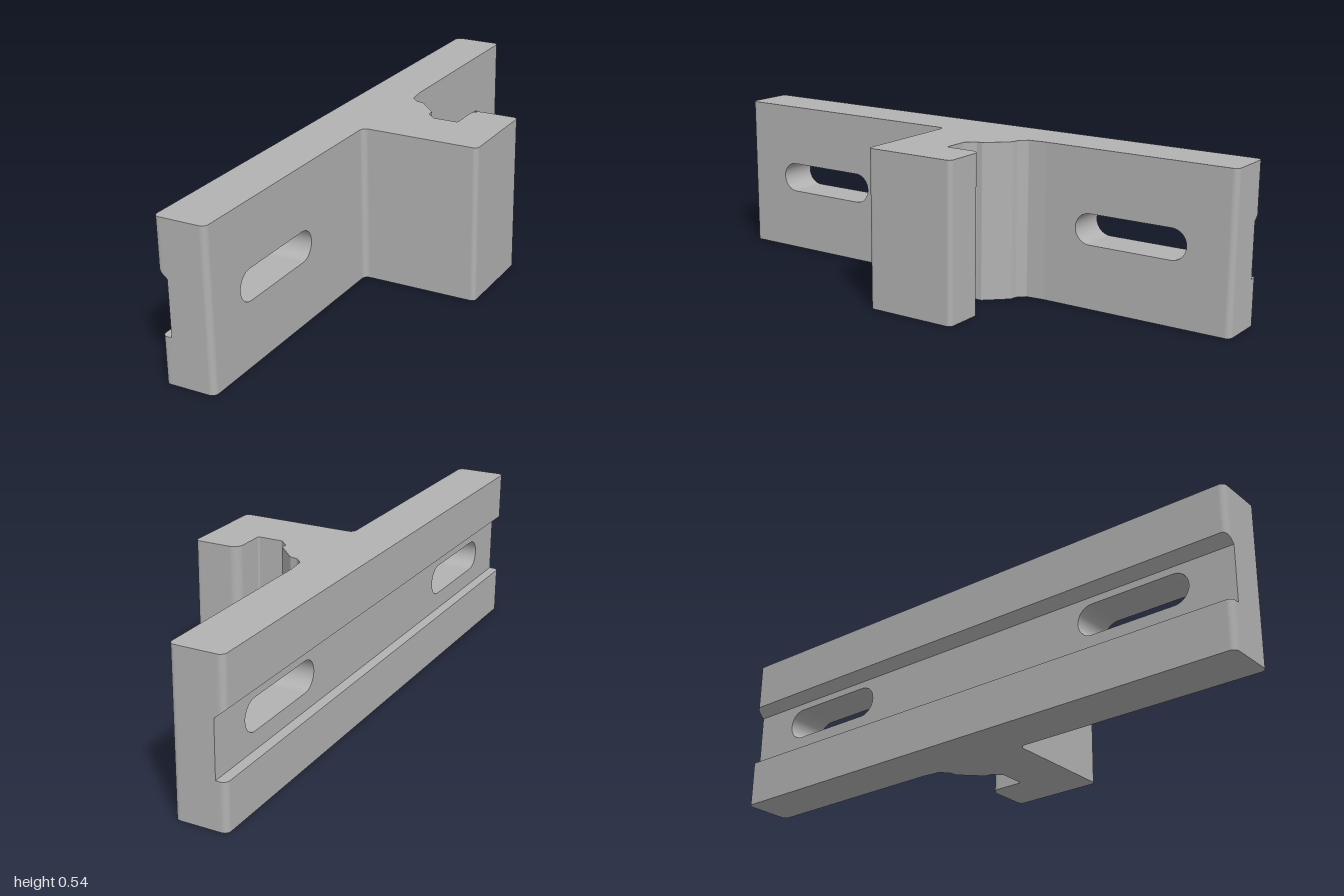
import * as THREE from 'three';
import { mergeGeometries } from 'three/addons/utils/BufferGeometryUtils.js';

const H = 0.543;                       // height of the whole section
const BACK = -0.297, FACE = -0.12;     // plate back and front, along x
const FLOOR = -0.262, G0 = 0.16;       // groove floor (x) and lower ledge (y)
const grooveTop = x => 0.38 - (x - BACK) * (0.03 / (FLOOR - BACK));
const SLOT = { y: 0.273, r: 0.053, half: 0.15, z: [0.641, -0.638] };

// Plan corners as [x, z, radius]
const PLAN = [
  [BACK, 1, 0.02], [FLOOR, 1, 0], [FACE, 1, 0.02],
  [FACE, 0.097, 0.02], [0.295, 0.097, 0.016],
  [0.295, -0.23, 0.016], [0.132, -0.23, 0.032], [0.132, -0.1, 0.006],
  [0.042, -0.1, 0.006], [0.01, -0.131, 0.006], [0.01, -0.153, 0.006],
  [-0.06, -0.225, 0.012], [-0.087, -0.23, 0.006], [-0.113, -0.255, 0.006],
  [FACE, -0.32, 0],
  [FACE, -1, 0.02], [FLOOR, -1, 0], [BACK, -1, 0.02],
];

// Replace each corner by an arc tangent to its two sides
function roundCorners(corners, steps = 6) {
  const out = [];
  corners.forEach(([x, z, r], i) => {
    const p = new THREE.Vector2(x, z);
    if (!r) { out.push(p); return; }
    const n = corners.length;
    const side = j => new THREE.Vector2(corners[j][0], corners[j][1]).sub(p).normalize();
    const u = side((i + n - 1) % n), v = side((i + 1) % n);
    const half = Math.acos(u.dot(v)) / 2, t = r / Math.tan(half);
    const c = u.clone().add(v).normalize().multiplyScalar(r / Math.sin(half)).add(p);
    const a0 = p.clone().addScaledVector(u, t).sub(c).angle();
    let da = p.clone().addScaledVector(v, t).sub(c).angle() - a0;
    if (da > Math.PI) da -= 2 * Math.PI;
    if (da < -Math.PI) da += 2 * Math.PI;
    for (let k = 0; k <= steps; k++) {
      const a = a0 + da * k / steps;
      out.push(new THREE.Vector2(c.x + r * Math.cos(a), c.y + r * Math.sin(a)));
    }
  });
  return out;
}

// Four-cornered face; na belongs to a and d, nb to b and c
function quad(a, b, c, d, na, nb) {
  const e1 = new THREE.Vector3().subVectors(b, a), e2 = new THREE.Vector3().subVectors(c, a);
  const ccw = e1.cross(e2).dot(na) > 0;
  const p = ccw ? [a, b, c, a, c, d] : [a, c, b, a, d, c];
  const n = ccw ? [na, nb, nb, na, nb, na] : [na, nb, nb, na, na, nb];
  const g = new THREE.BufferGeometry().setFromPoints(p);
  g.setAttribute('normal', new THREE.Float32BufferAttribute(n.flatMap(q => q.toArray()), 3));
  return g;
}

function plain(geometry) {
  const g = geometry.toNonIndexed();
  g.deleteAttribute('uv');
  return g;
}

// Horizontal face over a plan outline, facing up or down
function cap(points, y, up) {
  const shape = new THREE.Shape(points.map(p => new THREE.Vector2(p.x, up ? -p.y : p.y)));
  return plain(new THREE.ShapeGeometry(shape).rotateX(up ? -Math.PI / 2 : Math.PI / 2).translate(0, y, 0));
}

// Outline of one elongated slot in (z, y), with inward normals
function slotOutline(zc, steps = 16) {
  const out = [];
  for (const s of [0, 1]) for (let k = 0; k <= steps; k++) {
    const a = -Math.PI / 2 + Math.PI * (s + k / steps);
    const c = Math.cos(a), n = Math.sin(a);
    out.push({ z: zc + (s ? -1 : 1) * SLOT.half * 0.99 + SLOT.r * c, y: SLOT.y + SLOT.r * n,
      normal: new THREE.Vector3(0, -n, -c) });
  }
  return out;
}

// Upright face at x, pierced by the slots within its z range; dir is +1 or -1 along x
function slottedFace(x, z0, z1, y0, y1, dir) {
  const s = z => -dir * z;
  const shape = new THREE.Shape([[z0, y0], [z1, y0], [z1, y1], [z0, y1]]
    .map(([z, y]) => new THREE.Vector2(s(z), y)));
  for (const zc of SLOT.z) {
    if (zc > Math.min(z0, z1) && zc < Math.max(z0, z1)) {
      shape.holes.push(new THREE.Path(slotOutline(zc).map(p => new THREE.Vector2(s(p.z), p.y))));
    }
  }
  return plain(new THREE.ShapeGeometry(shape).rotateY(dir * Math.PI / 2).translate(x, 0, 0));
}

// Upright walls all round the plan, interrupted by the groove at the back
function buildWalls(plan) {
  const n = plan.length, walls = [];
  const segs = plan.map((a, i) => {
    const b = plan[(i + 1) % n], d = b.clone().sub(a);
    return { a, b, long: d.length() > 0.02, normal: new THREE.Vector3(-d.y, 0, d.x).normalize() };
  });
  const blend = (seg, other) => {
    if (seg.long || seg.normal.dot(other.normal) < 0.87) return seg.normal;
    return other.long ? other.normal : seg.normal.clone().add(other.normal).normalize();
  };
  segs.forEach((seg, i) => {
    const { a, b } = seg;
    if (a.x === b.x || Math.abs(a.x - b.x) < 1e-6) {
      if (Math.abs(a.x - FACE) < 1e-6 && Math.abs(a.y - b.y) > 0.5) {
        walls.push(slottedFace(FACE, a.y, b.y, 0, H, 1));
        return;
      }
    }
    const na = blend(seg, segs[(i + n - 1) % n]), nb = blend(seg, segs[(i + 1) % n]);
    const strip = (a0, a1, b0, b1) => walls.push(quad(
      new THREE.Vector3(a.x, a0, a.y), new THREE.Vector3(b.x, b0, b.y),
      new THREE.Vector3(b.x, b1, b.y), new THREE.Vector3(a.x, a1, a.y), na, nb));
    if (Math.max(a.x, b.x) <= FLOOR + 1e-6) {
      strip(0, G0, 0, G0);
      strip(grooveTop(a.x), H, grooveTop(b.x), H);
    } else strip(0, H, 0, H);
  });
  return walls;
}

// Long groove: floor, lower ledge and sloping upper side
function buildGroove(plan) {
  const edge = plan.filter(p => p.x <= FLOOR + 1e-6);
  const slope = cap(edge, 0, false), pos = slope.attributes.position;
  for (let i = 0; i < pos.count; i++) pos.setY(i, grooveTop(pos.getX(i)));
  slope.computeVertexNormals();
  return [slottedFace(FLOOR, -1, 1, G0, grooveTop(FLOOR), -1), cap(edge, G0, true), slope];
}

// Inner wall of one slot
function buildSlot(zc) {
  const pts = slotOutline(zc);
  return pts.map((p, i) => {
    const q = pts[(i + 1) % pts.length];
    const v = (x, o) => new THREE.Vector3(x, o.y, o.z);
    return quad(v(FLOOR, p), v(FLOOR, q), v(FACE, q), v(FACE, p), p.normal, q.normal);
  });
}

export function createModel() {
  const model = new THREE.Group();
  model.name = 'mountingBracket';
  const grey = new THREE.MeshStandardMaterial({ color: 0xb2b2b2 });
  grey.name = 'grey metal';
  const add = (name, parts) => {
    const mesh = new THREE.Mesh(mergeGeometries(parts), grey);
    mesh.name = name;
    model.add(mesh);
  };
  const plan = roundCorners(PLAN);
  add('plateAndHookWalls', buildWalls(plan));
  add('topAndBottom', [cap(plan, H, true), cap(plan, 0, false)]);
  add('backGroove', buildGroove(plan));
  SLOT.z.forEach((zc, i) => add(i ? 'rearSlot' : 'frontSlot', buildSlot(zc)));
  return model;
}
